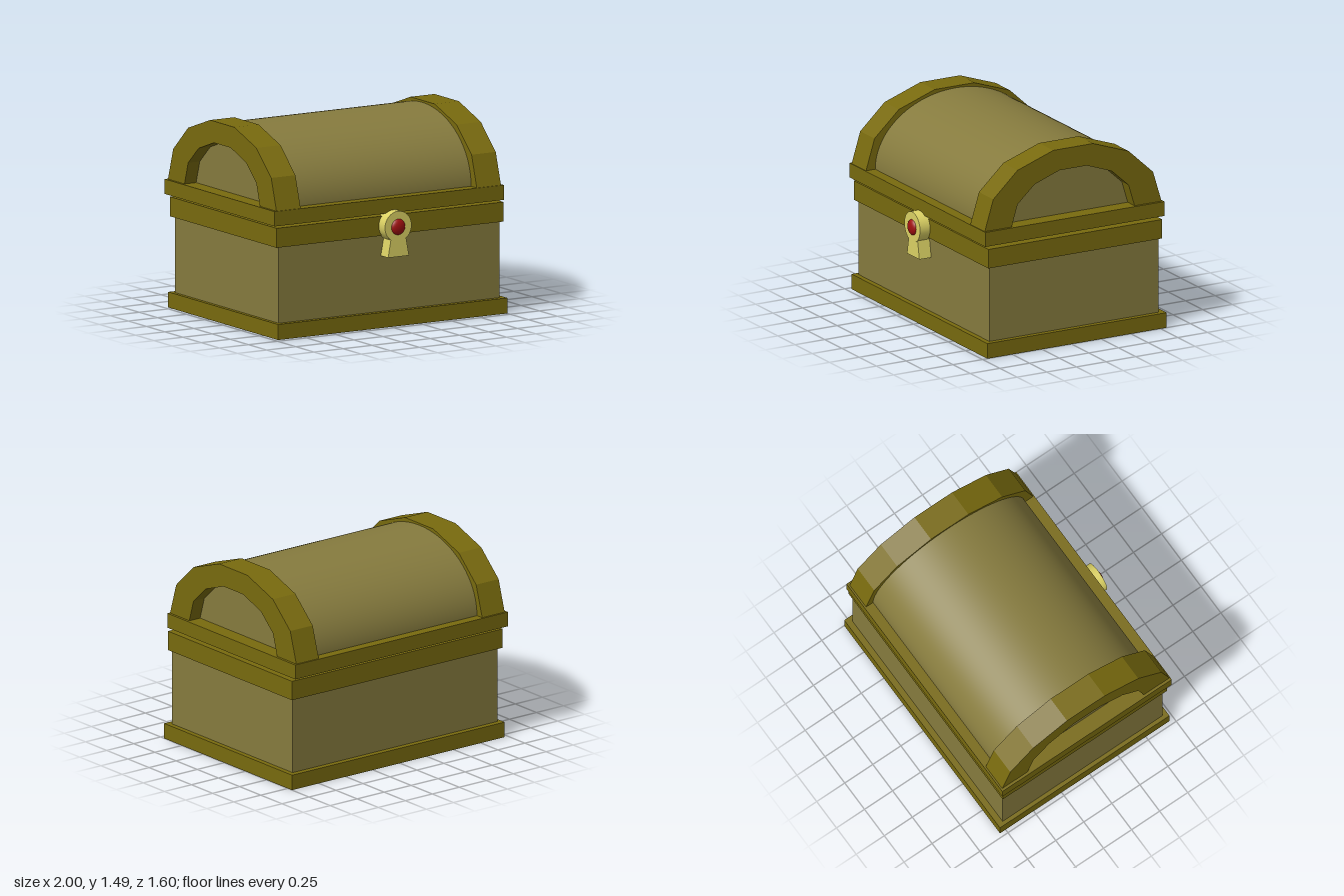
import * as THREE from 'three';

const trim = new THREE.MeshStandardMaterial({ color: 0x786a0e, flatShading: true });
const wood = new THREE.MeshStandardMaterial({ color: 0x867b3e });
const brass = new THREE.MeshStandardMaterial({ color: 0xdcd264 });
const gem = new THREE.MeshStandardMaterial({ color: 0xa01010 });

export function createModel() {
  const chest = new THREE.Group();
  chest.name = 'treasureChest';

  const add = (name, geometry, material, x = 0, y = 0, z = 0) => {
    const mesh = new THREE.Mesh(geometry, material);
    mesh.name = name;
    mesh.position.set(x, y, z);
    chest.add(mesh);
    return mesh;
  };

  // Box given by its limits on each axis
  const box = (name, material, x0, x1, y0, y1, z0, z1) =>
    add(name, new THREE.BoxGeometry(x1 - x0, y1 - y0, z1 - z0), material,
      (x0 + x1) / 2, (y0 + y1) / 2, (z0 + z1) / 2);

  const shapeOf = (points) => new THREE.Shape(points.map(([x, y]) => new THREE.Vector2(x, y)));
  const extrude = (shape, depth, curveSegments = 24) =>
    new THREE.ExtrudeGeometry(shape, { depth, bevelEnabled: false, curveSegments });

  // Base frame, open in the middle of the underside
  const base = shapeOf([[-0.97, -0.71], [1, -0.71], [1, 0.8], [-0.97, 0.8]]);
  base.holes.push(new THREE.Path([[-0.48, -0.28], [-0.48, 0.37], [0.5, 0.37], [0.5, -0.28]]
    .map(([x, y]) => new THREE.Vector2(x, y))));
  add('baseFrame', extrude(base, 0.115).rotateX(-Math.PI / 2), trim);

  // Body and the two rims
  box('body', wood, -0.94, 0.96, 0.004, 0.7, -0.755, 0.67);
  box('bodyRim', trim, -0.97, 0.98, 0.68, 0.825, -0.775, 0.69);
  box('lidRim', trim, -1, 0.97, 0.845, 0.955, -0.8, 0.71);

  // Smooth barrel lid; its profile is drawn in (-z, y) and swept along x
  const barrel = new THREE.Shape();
  barrel.moveTo(0.675, 0);
  barrel.absellipse(0, 0, 0.675, 0.515, 0, Math.PI, false);
  barrel.closePath();
  const curved = extrude(barrel, 1.73, 32);
  const pos = curved.attributes.position, nor = curved.attributes.normal;
  for (let i = 0; i < pos.count; i++) {
    // Rounded normals on the curved wall only
    if (Math.abs(nor.getZ(i)) > 0.5 || nor.getY(i) < -0.5) continue;
    const n = new THREE.Vector3(pos.getX(i) / 0.675 ** 2, pos.getY(i) / 0.515 ** 2, 0).normalize();
    nor.setXYZ(i, n.x, n.y, 0);
  }
  add('lidBarrel', curved.rotateY(Math.PI / 2), wood, -0.88, 0.955, -0.05);

  // Faceted arches at both ends of the lid
  const outer = [[0.745, 0], [0.673, 0.235], [0.468, 0.425], [0.167, 0.53]];
  const inner = [[0.518, 0], [0.468, 0.165], [0.325, 0.295], [0.115, 0.37]];
  const mirrored = (half) => [...half].reverse().map(([z, y]) => [-z, y]);
  const arch = shapeOf([...outer, ...mirrored(outer), ...mirrored(inner).reverse(), ...[...inner].reverse()]);
  for (const [name, x] of [['rightArch', -0.98], ['leftArch', 0.742]]) {
    add(name, extrude(arch, 0.208).rotateY(Math.PI / 2), trim, x, 0.955, -0.042);
  }

  // Lock: round plate, flared tail and a domed gem
  add('lockPlate', new THREE.CylinderGeometry(0.114, 0.114, 0.11, 32).rotateX(Math.PI / 2),
    brass, 0.022, 0.753, 0.72);
  const tail = shapeOf([[-0.087, 0.528], [0.092, 0.528], [0.06, 0.7], [-0.055, 0.7]]);
  add('lockTail', extrude(tail, 0.12), brass, 0.025, 0, 0.65);
  add('lockGem', new THREE.SphereGeometry(0.06, 24, 16), gem, 0.022, 0.75, 0.77).scale.z = 0.5;

  return chest;
}
